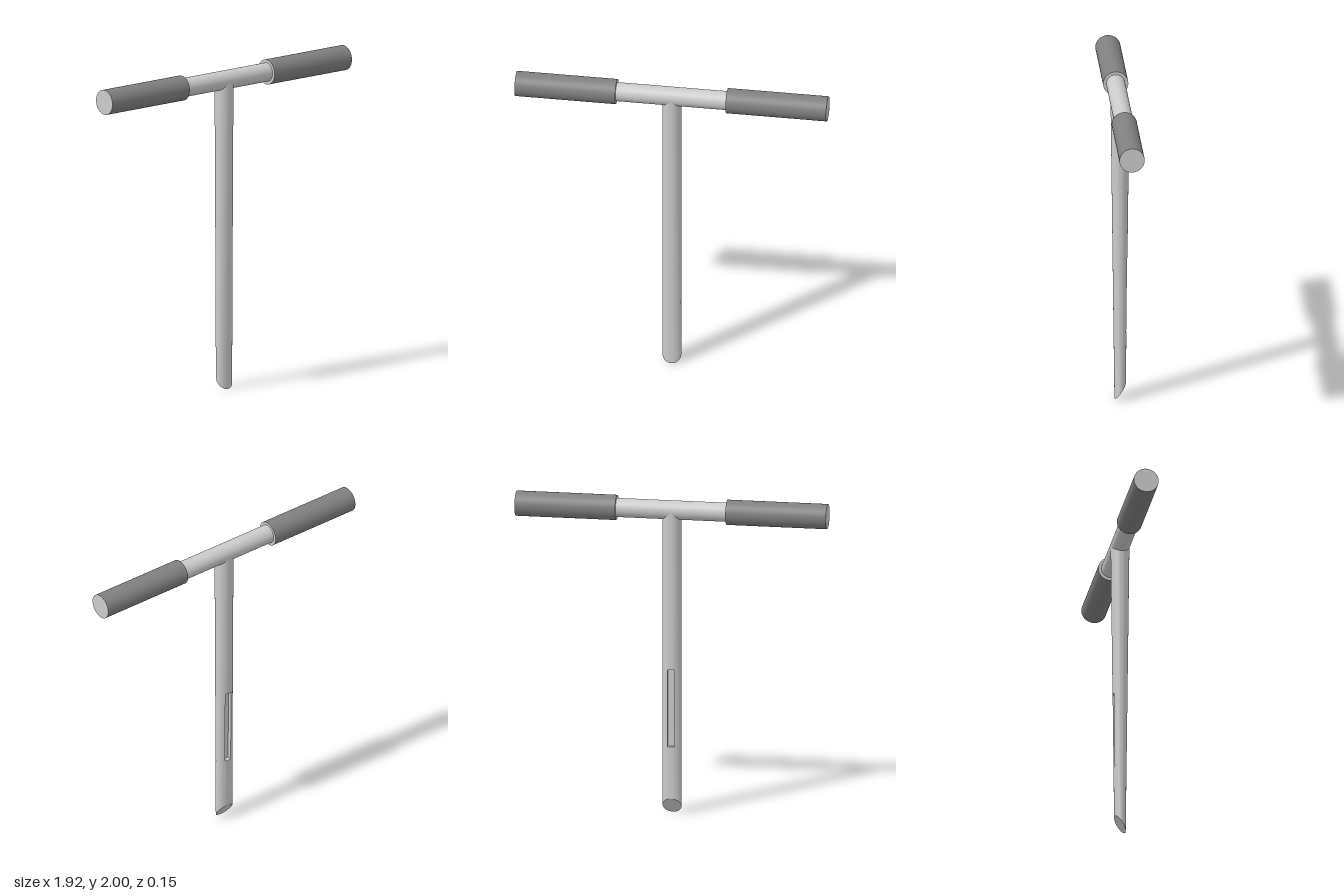
import * as THREE from 'three';
import { toCreasedNormals } from 'three/addons/utils/BufferGeometryUtils.js';

const AXIS_Y = 1.923, BAR_R = 0.058, GRIP_R = 0.077;
const GRIP_IN = 0.34, GRIP_OUT = 0.96;
const SLOT = { halfAngle: 0.4, bottom: 0.43, top: 0.92, depth: 0.025 };

const material = (color, side = THREE.FrontSide) => new THREE.MeshStandardMaterial({ color, side });

function addMesh(parent, name, geometry, mat) {
  const mesh = new THREE.Mesh(geometry, mat);
  mesh.name = name;
  parent.add(mesh);
  return mesh;
}

// Shaft: round at the top, flattening front to back towards a slanted tip,
// with a long recessed slot in the back.
function shaftGeometry() {
  const columns = [];
  for (let i = 0; i <= 6; i++) columns.push([SLOT.halfAngle * (i / 3 - 1), true]);
  const span = 2 * Math.PI - 2 * SLOT.halfAngle;
  for (let i = 0; i <= 42; i++) columns.push([SLOT.halfAngle + span * i / 42, false]);

  // Heights; repeated ones form the slot's end walls
  const rows = [
    [null, false], [SLOT.bottom, false], [SLOT.bottom, true],
    [SLOT.top, true], [SLOT.top, false], [AXIS_Y, false],
  ];
  const point = ([angle, slotColumn], [height, slotRow]) => {
    const depthAt = (y) => 0.034 + 0.0235 * y / AXIS_Y;
    const x = BAR_R * Math.sin(angle);
    const y = height ?? 0.05 + 0.05 * Math.cos(angle);
    let z = -depthAt(y) * Math.cos(angle);
    if (slotColumn && slotRow) z += SLOT.depth;
    return new THREE.Vector3(x, y, z);
  };

  const positions = [];
  const triangle = (a, b, c) => {
    if (new THREE.Triangle(a, b, c).getArea() < 1e-9) return;
    for (const p of [a, b, c]) positions.push(p.x, p.y, p.z);
  };
  const tipCentre = new THREE.Vector3(0, 0.05, 0);
  columns.forEach((column, i) => {
    const next = columns[(i + 1) % columns.length];
    for (let j = 0; j < rows.length - 1; j++) {
      const a = point(column, rows[j]), b = point(next, rows[j]);
      const c = point(next, rows[j + 1]), d = point(column, rows[j + 1]);
      triangle(a, d, c);
      triangle(a, c, b);
    }
    triangle(tipCentre, point(column, rows[0]), point(next, rows[0]));
  });
  const geometry = new THREE.BufferGeometry();
  geometry.setAttribute('position', new THREE.Float32BufferAttribute(positions, 3));
  return toCreasedNormals(geometry, 0.6);
}

export function createModel() {
  const model = new THREE.Group();
  model.name = 'tHandleProbe';
  const metal = material(0xcccccc);
  const dark = material(0x808080);

  addMesh(model, 'shaft', shaftGeometry(), metal);

  // Cross bar
  const bar = addMesh(model, 'crossBar',
    new THREE.CylinderGeometry(BAR_R, BAR_R, 2 * GRIP_IN + 0.1, 48), metal);
  bar.rotation.z = Math.PI / 2;
  bar.position.y = AXIS_Y;

  // Grips: dark sleeve with pale end faces
  for (const side of [1, -1]) {
    const grip = new THREE.Group();
    grip.name = side > 0 ? 'leftGrip' : 'rightGrip';
    grip.position.set(side * (GRIP_IN + GRIP_OUT) / 2, AXIS_Y, 0);
    grip.rotation.z = -side * Math.PI / 2;
    const length = GRIP_OUT - GRIP_IN;
    addMesh(grip, 'gripSleeve',
      new THREE.CylinderGeometry(GRIP_R, GRIP_R, length, 48, 1, true), dark);
    const outer = addMesh(grip, 'gripEnd', new THREE.CircleGeometry(GRIP_R, 48), metal);
    outer.rotation.x = -Math.PI / 2;
    outer.position.y = length / 2;
    const inner = addMesh(grip, 'gripInnerRim',
      new THREE.RingGeometry(BAR_R, GRIP_R, 48), metal);
    inner.rotation.x = Math.PI / 2;
    inner.position.y = -length / 2;
    model.add(grip);
  }
  return model;
}
